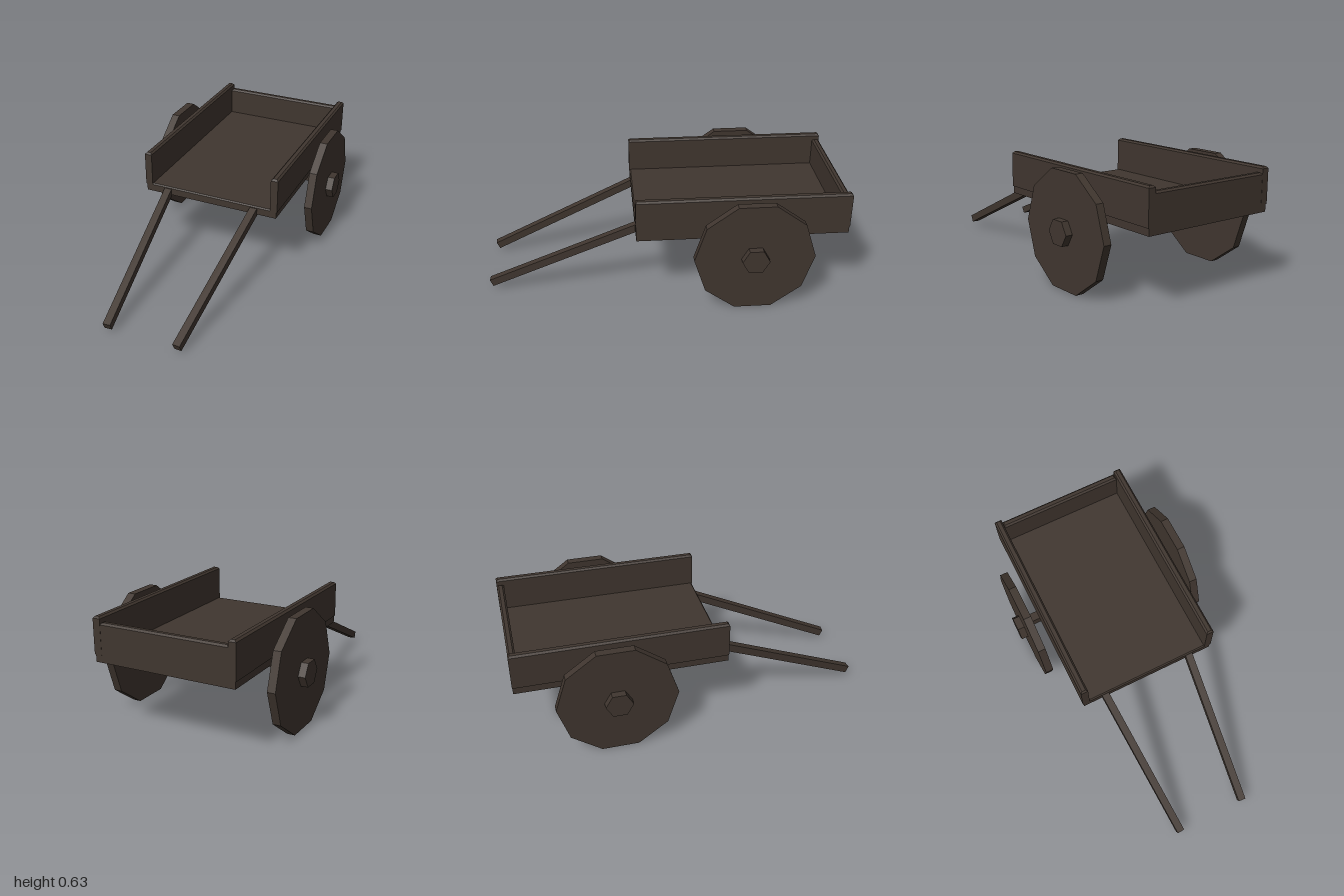
import * as THREE from 'three';

export function createModel() {
  const cart = new THREE.Group();
  cart.name = 'handcart';
  const wood = new THREE.MeshStandardMaterial({ color: 0x40362f });
  wood.name = 'dark wood';

  // Adds a part with crisp faceted normals
  function add(name, geometry, x, y, z) {
    const faceted = geometry.index ? geometry.toNonIndexed() : geometry;
    faceted.computeVertexNormals();
    const mesh = new THREE.Mesh(faceted, wood);
    mesh.name = name;
    mesh.position.set(x, y, z);
    cart.add(mesh);
    return mesh;
  }

  // Board whose top edges are chamfered by c
  function board(w, h, d, c) {
    const geometry = new THREE.BoxGeometry(w, h, d, 1, 2, 1);
    const p = geometry.attributes.position;
    for (let i = 0; i < p.count; i++) {
      const y = p.getY(i);
      if (Math.abs(y) < 1e-6) p.setY(i, h / 2 - c);
      else if (y > 0) {
        p.setX(i, p.getX(i) - Math.sign(p.getX(i)) * c);
        p.setZ(i, p.getZ(i) - Math.sign(p.getZ(i)) * c);
      }
    }
    return geometry;
  }

  // Disc lying across the cart, with corners pointing fore and aft
  function disc(radius, width, sides) {
    return new THREE.CylinderGeometry(radius, radius, width, sides).rotateZ(Math.PI / 2);
  }

  // Bed, tail board and axle
  add('floor', board(0.8, 0.047, 1.166, 0.007), 0, 0.4135, -0.414);
  add('tailBoard', board(0.73, 0.17, 0.04, 0.01), 0, 0.515, -0.978);
  add('axle', new THREE.BoxGeometry(0.93, 0.05, 0.05), 0, 0.345, -0.467);

  // Mirrored parts
  for (const [side, s] of [['left', 1], ['right', -1]]) {
    add(side + 'SideBoard', board(0.042, 0.2, 1.17, 0.01), s * 0.385, 0.53, -0.414);
    add(side + 'Wheel', disc(0.33, 0.045, 10), s * 0.4825, 0.315, -0.465);
    add(side + 'Hub', disc(0.075, 0.042, 6), s * 0.524, 0.315, -0.465);

    // Pull shaft sloping down to the front
    const back = new THREE.Vector3(s * 0.267, 0.41, 0.15);
    const front = new THREE.Vector3(s * 0.202, 0.04, 0.991);
    const middle = back.clone().lerp(front, 0.5);
    const shaft = add(side + 'Shaft',
      new THREE.BoxGeometry(0.042, 0.043, back.distanceTo(front)),
      middle.x, middle.y, middle.z);
    shaft.lookAt(front);
  }
  return cart;
}
